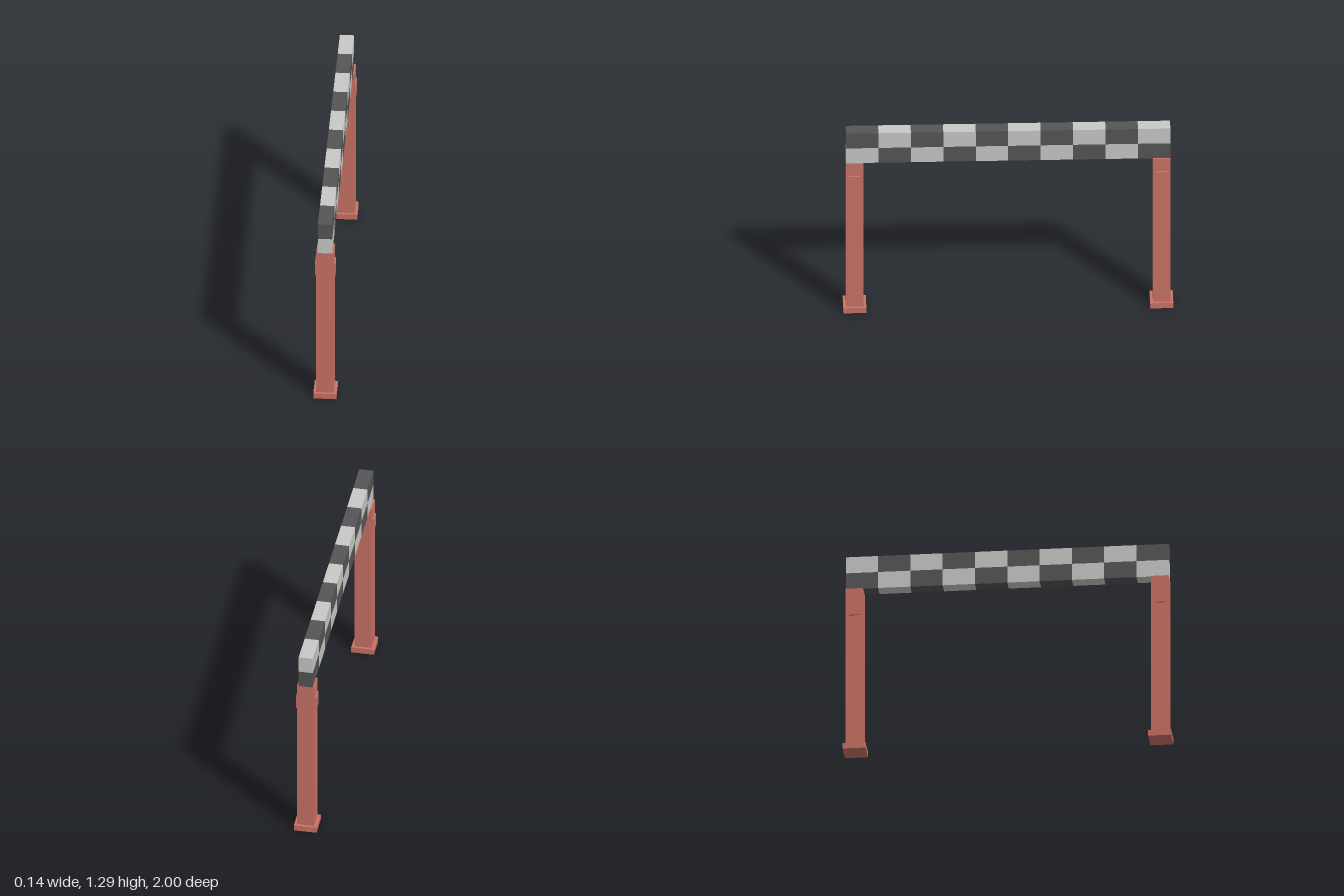
import * as THREE from 'three';

const red = new THREE.MeshStandardMaterial({ name: 'postRed', color: 0xc97264 });
const light = new THREE.MeshStandardMaterial({ name: 'checkerLight', color: 0xc8c8c6 });
const dark = new THREE.MeshStandardMaterial({ name: 'checkerDark', color: 0x555555 });

function box(name, parent, material, size, position) {
  const mesh = new THREE.Mesh(new THREE.BoxGeometry(...size), material);
  mesh.name = name;
  mesh.position.set(...position);
  parent.add(mesh);
}

// Square post on a wider foot, with a raised plate on each side
function createPost(name, side) {
  const post = new THREE.Group();
  post.name = name;
  box('foot', post, red, [0.14, 0.037, 0.14], [0, 0.0185, 0]);
  box('shaft', post, red, [0.106, 1.038, 0.106], [0, 0.556, 0]);
  for (const s of [-1, 1]) {
    box(s > 0 ? 'leftPlate' : 'rightPlate', post, red, [0.009, 0.091, 0.07], [s * 0.0575, 0.941, 0]);
  }
  post.position.z = side * 0.93;
  return post;
}

// Two rows of ten alternating blocks
function createBeam() {
  const beam = new THREE.Group();
  beam.name = 'checkeredBeam';
  const columns = 10, length = 1.966, height = 0.107;
  const cell = length / columns;
  for (let row = 0; row < 2; row++) {
    for (let i = 0; i < columns; i++) {
      box(row ? 'upperBlock' : 'lowerBlock', beam, (row + i) % 2 ? dark : light,
        [0.087, height, cell],
        [0, 1.075 + (row + 0.5) * height, length / 2 - (i + 0.5) * cell]);
    }
  }
  return beam;
}

export function createModel() {
  const gate = new THREE.Group();
  gate.name = 'checkeredGate';
  gate.add(createPost('frontPost', 1), createPost('backPost', -1), createBeam());
  return gate;
}
